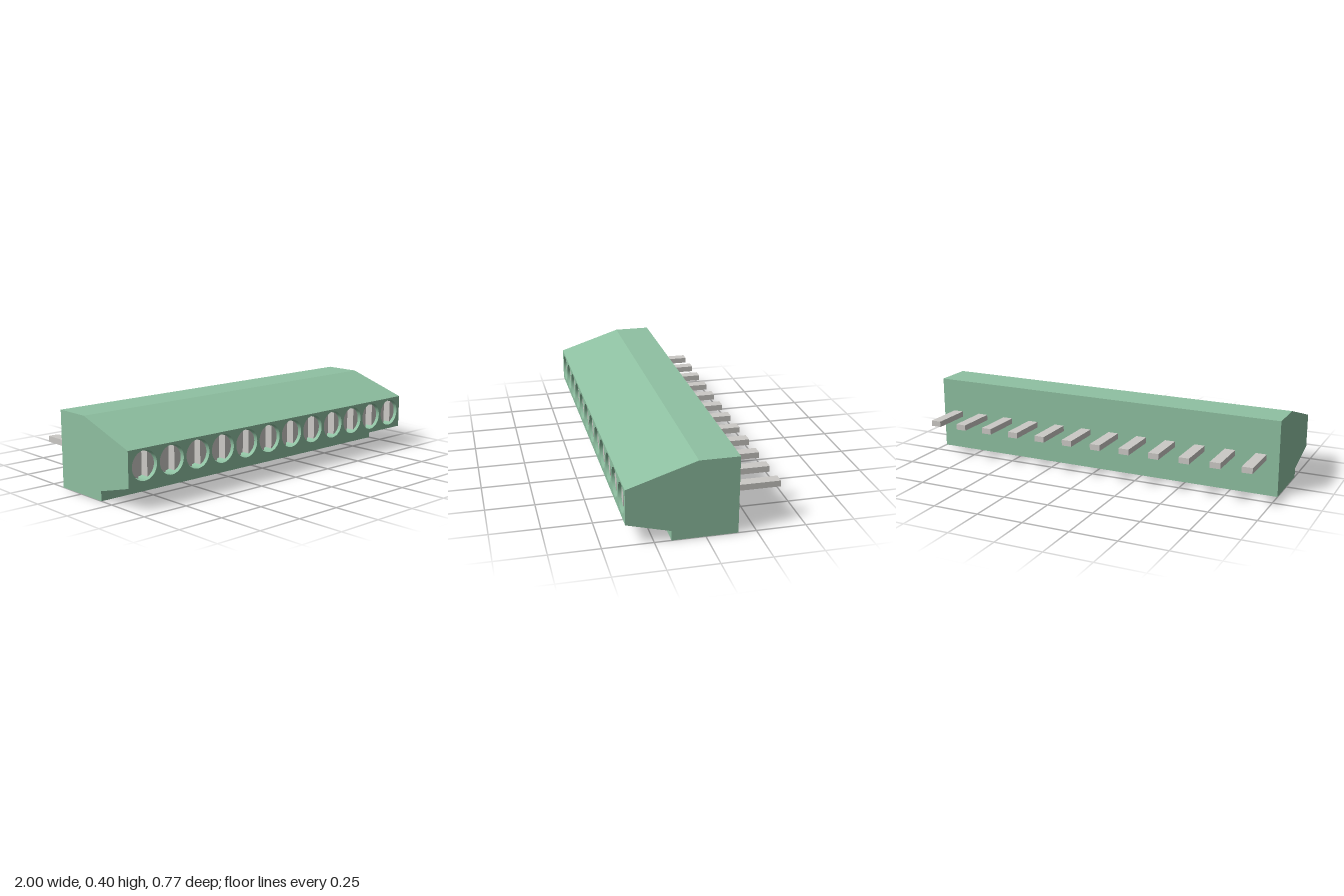
import * as THREE from 'three';

const COUNT = 12, PITCH = 0.1645;
const HOLE_R = 0.074, HOLE_Y = 0.203, FRONT_Z = 0.387, HOLE_DEPTH = 0.09;
const green = 0x8fc1a2, metal = 0xcccac6;

const shellMat = new THREE.MeshStandardMaterial({ color: green, flatShading: true, side: THREE.DoubleSide });
const holeMat = new THREE.MeshStandardMaterial({ color: green, side: THREE.DoubleSide });
const metalMat = new THREE.MeshStandardMaterial({ color: metal });

// Side profile of the housing as [z, y], clockwise from the bottom front
const profile = [
  [0.167, 0], [0.167, 0.05], [0.387, 0.108], [0.387, 0.288],
  [0.04, 0.4], [-0.16, 0.4], [-0.16, 0],
];

function add(parent, name, geometry, material, x = 0, y = 0, z = 0) {
  const mesh = new THREE.Mesh(geometry, material);
  mesh.name = name;
  mesh.position.set(x, y, z);
  parent.add(mesh);
  return mesh;
}

function rectPoints(x0, y0, x1, y1) {
  return [[x0, y0], [x1, y0], [x1, y1], [x0, y1]].map(([x, y]) => new THREE.Vector2(x, y));
}

// Rectangular strip spanning the full width between two profile points
function strip([z0, y0], [z1, y1]) {
  const g = new THREE.BufferGeometry();
  g.setAttribute('position', new THREE.Float32BufferAttribute(
    [-1, y0, z0, 1, y0, z0, 1, y1, z1, -1, y1, z1], 3));
  g.setIndex([0, 1, 2, 0, 2, 3]);
  g.computeVertexNormals();
  return g;
}

// Five-sided pocket: a box without its floor, narrowing towards the top
function pocketGeometry(w, h, d) {
  const g = new THREE.BoxGeometry(w, h, d);
  const p = g.attributes.position;
  for (let i = 0; i < p.count; i++) {
    if (p.getY(i) > 0) p.setXYZ(i, p.getX(i) * 0.3, p.getY(i), p.getZ(i) * 0.88);
  }
  const index = Array.from(g.index.array);
  index.splice(18, 6);
  g.setIndex(index);
  g.clearGroups();
  g.computeVertexNormals();
  return g;
}

// Half of a slotted screw head
function screwHalf(r, slot, depth) {
  const a = Math.asin(slot / r);
  const s = new THREE.Shape();
  s.absarc(0, 0, r, -Math.PI / 2 + a, Math.PI / 2 - a, false);
  s.closePath();
  return new THREE.ExtrudeGeometry(s, { depth, bevelEnabled: false, curveSegments: 20 });
}

export function createModel() {
  const model = new THREE.Group();
  model.name = 'terminalBlock';
  const housing = new THREE.Group();
  housing.name = 'housing';
  model.add(housing);

  const xs = Array.from({ length: COUNT }, (_, i) => (i - (COUNT - 1) / 2) * PITCH);

  // Plain outer walls (the front and the floor have openings)
  const names = ['lowerStep', 'underside', null, 'slopedTop', 'flatTop', 'backWall', null];
  names.forEach((name, i) => {
    if (name) add(housing, name, strip(profile[i], profile[(i + 1) % profile.length]), shellMat);
  });

  // End walls
  const side = new THREE.Shape(profile.map(([z, y]) => new THREE.Vector2(-z, y)));
  for (const [name, x] of [['leftEnd', 1], ['rightEnd', -1]]) {
    const g = new THREE.ShapeGeometry(side).rotateY(Math.PI / 2);
    if (x < 0) {
      // Mirror the winding so the far end faces outward
      const idx = g.index.array;
      for (let i = 0; i < idx.length; i += 3) [idx[i], idx[i + 1]] = [idx[i + 1], idx[i]];
      g.computeVertexNormals();
    }
    add(housing, name, g, shellMat, x);
  }

  // Front wall with a round hole for each screw
  const front = new THREE.Shape(rectPoints(-1, 0.108, 1, 0.288));
  for (const x of xs) {
    front.holes.push(new THREE.Path().absarc(x, HOLE_Y, HOLE_R, 0, Math.PI * 2, true));
  }
  add(housing, 'frontWall', new THREE.ShapeGeometry(front, 20), shellMat, 0, 0, FRONT_Z);

  // Floor with a rectangular opening for each wire pocket
  const pw = 0.142, pd = 0.28, ph = 0.18, pz = 0.004;
  const floor = new THREE.Shape(rectPoints(-1, -0.167, 1, 0.16));
  for (const x of xs) {
    floor.holes.push(new THREE.Path(
      rectPoints(x - pw / 2, -pz - pd / 2, x + pw / 2, -pz + pd / 2).reverse()));
  }
  const floorGeo = new THREE.ShapeGeometry(floor).rotateX(Math.PI / 2);
  floorGeo.scale(1, 1, -1);
  add(housing, 'floor', floorGeo, shellMat);

  // Shared geometry for the repeated parts
  const tube = new THREE.CylinderGeometry(HOLE_R, HOLE_R, HOLE_DEPTH, 40, 1, true).rotateX(Math.PI / 2);
  const seat = new THREE.CircleGeometry(HOLE_R, 40);
  const pocket = pocketGeometry(pw, ph, pd);
  const half = screwHalf(0.067, 0.027, 0.045);
  const core = new THREE.CylinderGeometry(0.067, 0.067, 0.03, 40).rotateX(Math.PI / 2);
  const pin = new THREE.BoxGeometry(0.056, 0.031, 0.247);

  xs.forEach((x, i) => {
    const pole = new THREE.Group();
    pole.name = `pole${i + 1}`;
    pole.position.x = x;
    model.add(pole);
    const back = FRONT_Z - HOLE_DEPTH;
    add(pole, 'screwHole', tube, holeMat, 0, HOLE_Y, FRONT_Z - HOLE_DEPTH / 2);
    add(pole, 'holeSeat', seat, holeMat, 0, HOLE_Y, back);
    add(pole, 'wirePocket', pocket, shellMat, 0, ph / 2, pz);
    add(pole, 'screwCore', core, metalMat, 0, HOLE_Y, back + 0.016);
    add(pole, 'screwHeadLeft', half, metalMat, 0, HOLE_Y, back + 0.03);
    add(pole, 'screwHeadRight', half, metalMat, 0, HOLE_Y, back + 0.03).rotation.z = Math.PI;
    add(pole, 'pin', pin, metalMat, 0, 0.202, -0.2635);
  });

  return model;
}
